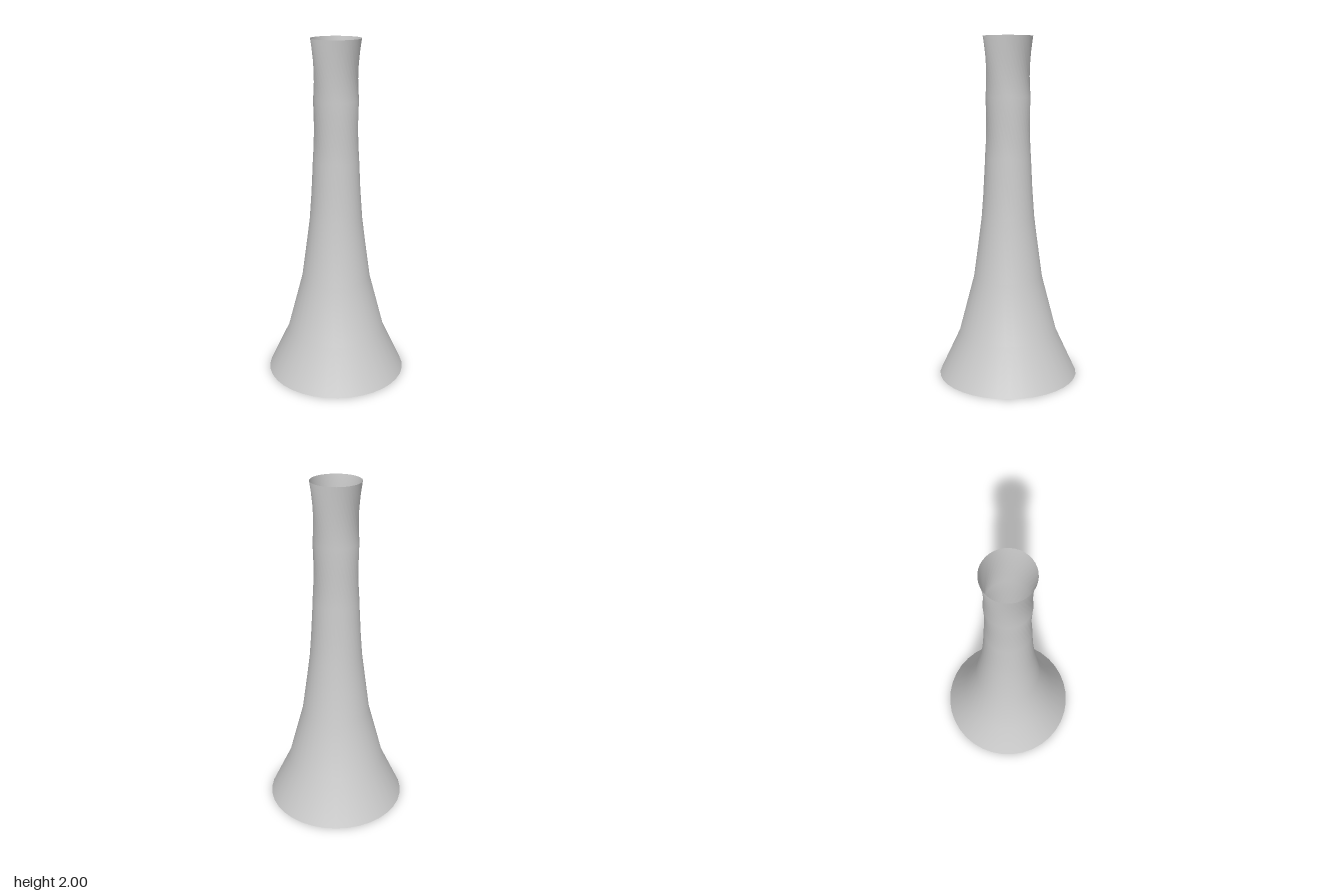
import * as THREE from 'three';
import { mergeVertices } from 'three/addons/utils/BufferGeometryUtils.js';

// Rings from bottom to top: height, radius, total twist in degrees
const RINGS = [
  [0, 0.413, 0],
  [0.26, 0.292, 4],
  [0.6, 0.203, 13],
  [0.96, 0.155, 29],
  [1.31, 0.134, 57],
  [1.66, 0.13, 101],
  [2, 0.143, 158],
];

export function createModel() {
  const group = new THREE.Group();
  const sides = 36;
  const rows = RINGS.length - 1;

  // Open tube, each ring flared and turned further than the one below it
  let geometry = new THREE.CylinderGeometry(1, 1, rows, sides, rows, true);
  geometry.deleteAttribute('uv');
  geometry.deleteAttribute('normal');
  const pos = geometry.attributes.position;
  for (let i = 0; i < pos.count; i++) {
    const [y, radius, twist] = RINGS[Math.round(pos.getY(i) + rows / 2)];
    const angle = Math.atan2(pos.getX(i), pos.getZ(i)) - THREE.MathUtils.degToRad(twist);
    pos.setXYZ(i, radius * Math.sin(angle), y, radius * Math.cos(angle));
  }

  // Weld the seam so the shading is smooth all round
  geometry = mergeVertices(geometry, 1e-4);
  geometry.computeVertexNormals();

  const material = new THREE.MeshStandardMaterial({ color: 0xcccccc, side: THREE.DoubleSide });
  const body = new THREE.Mesh(geometry, material);
  body.name = 'twistedFlaredTube';
  group.add(body);
  return group;
}
